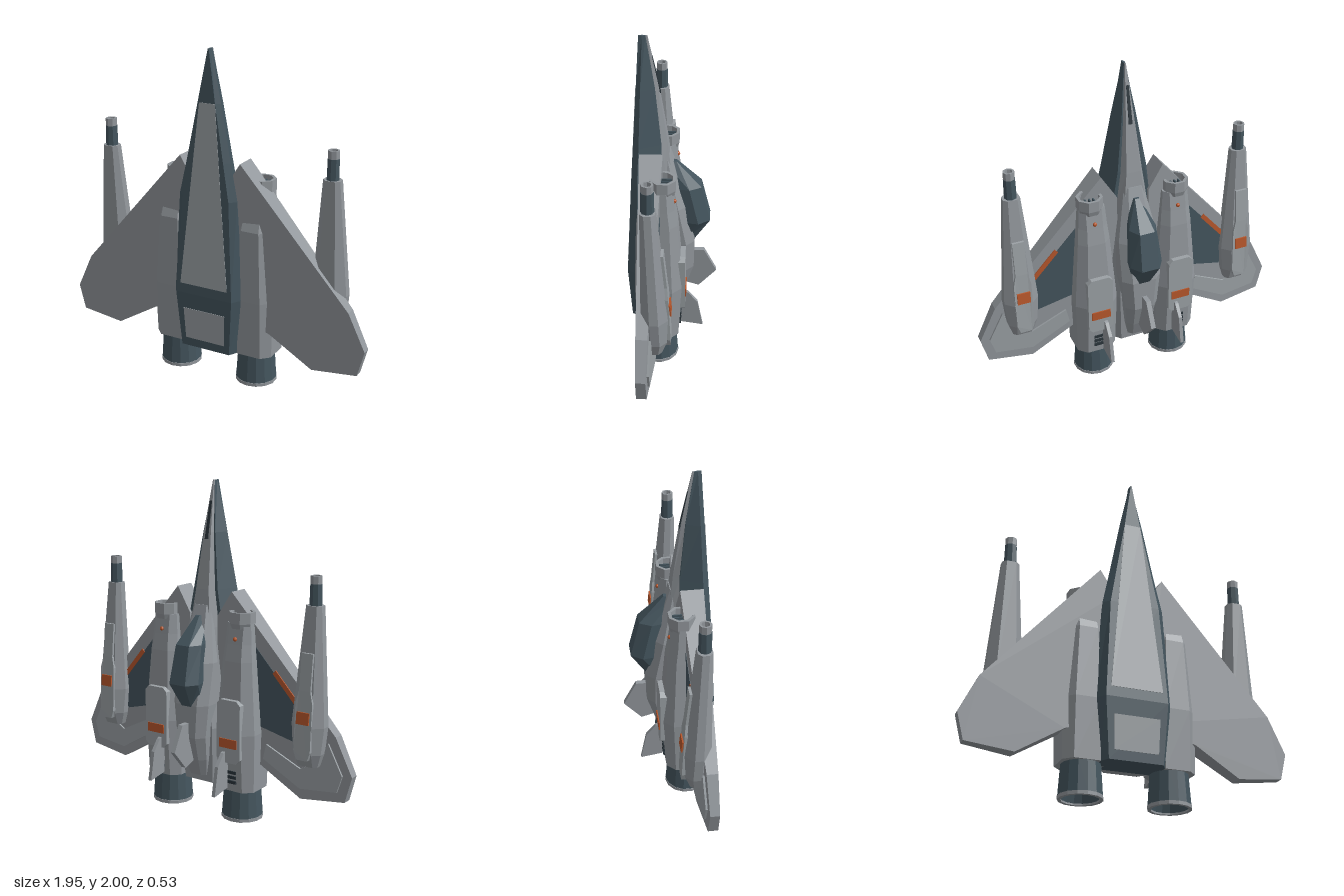
import * as THREE from 'three';

const mat = (name, color) => {
  const m = new THREE.MeshStandardMaterial({ color });
  m.name = name;
  return m;
};

export function createModel() {
  const grey = mat('hull grey', 0x92979c);
  const pale = mat('panel grey', 0x9ba1a5);
  const dark = mat('slate blue', 0x44555e);
  const black = mat('recess dark', 0x2a343a);
  const orange = mat('marking orange', 0xb8572c);
  const teal = mat('glow teal', 0x2f8496);

  const ship = new THREE.Group();
  ship.name = 'starfighter';

  // Faceted mesh
  const add = (name, geo, material, x = 0, y = 0, z = 0) => {
    const g = geo.index ? geo.toNonIndexed() : geo;
    g.computeVertexNormals();
    const mesh = new THREE.Mesh(g, material);
    mesh.name = name;
    mesh.position.set(x, y, z);
    ship.add(mesh);
    return mesh;
  };

  // Closed skin through rings stacked upward, each ring running front, +x, back, -x
  const loft = (rings) => {
    const v = [];
    const n = rings[0].length;
    const tri = (...p) => p.forEach((q) => v.push(...q));
    for (let i = 0; i < rings.length - 1; i++) {
      for (let j = 0; j < n; j++) {
        const k = (j + 1) % n, a = rings[i], b = rings[i + 1];
        tri(a[j], a[k], b[k]);
        tri(a[j], b[k], b[j]);
      }
    }
    const lo = rings[0], hi = rings[rings.length - 1];
    for (let j = 1; j < n - 1; j++) {
      tri(lo[0], lo[j + 1], lo[j]);
      tri(hi[0], hi[j], hi[j + 1]);
    }
    const g = new THREE.BufferGeometry();
    g.setAttribute('position', new THREE.Float32BufferAttribute(v, 3));
    return g;
  };

  // Chamfered box section: height, half width, back z, front z, chamfer
  const octagon = ([y, w, z0, z1, c]) => [
    [-w + c, y, z1], [w - c, y, z1], [w, y, z1 - c], [w, y, z0 + c],
    [w - c, y, z0], [-w + c, y, z0], [-w, y, z0 + c], [-w, y, z1 - c],
  ];

  // Outline in x and y, with front and back z given by rules
  const plate = (pts, front, back) => {
    const shape = new THREE.Shape(pts.map(([x, y]) => new THREE.Vector2(x, y)));
    const g = new THREE.ExtrudeGeometry(shape, { depth: 1, bevelEnabled: false });
    const p = g.attributes.position;
    for (let i = 0; i < p.count; i++) {
      const f = p.getZ(i) > 0.5 ? front : back;
      p.setZ(i, f(p.getX(i), p.getY(i)));
    }
    return g;
  };
  const trapezoid = (y0, w0, y1, w1, x = 0) => [[x - w0, y0], [x + w0, y0], [x + w1, y1], [x - w1, y1]];
  const clipped = (y0, y1, w, c) => [
    [-w + c, y0], [w - c, y0], [w, y0 + c], [w, y1 - c], [w - c, y1], [-w + c, y1], [-w, y1 - c], [-w, y0 + c],
  ];

  // Fuselage: y, belly half width and z, side half width and z, shoulder half width and z, top half width and z
  const sections = [
    [0.195, 0.16, 0.245, 0.19, 0.19, 0.18, 0.05, 0.1, 0.0],
    [0.55, 0.185, 0.266, 0.228, 0.2, 0.2, 0.04, 0.12, -0.04],
    [1.15, 0.15, 0.236, 0.187, 0.2, 0.125, 0.06, 0.07, 0.005],
    [1.37, 0.11, 0.224, 0.14, 0.19, 0.085, 0.065, 0.045, 0.03],
    [1.7, 0.05, 0.206, 0.074, 0.18, 0.042, 0.1, 0.025, 0.08],
    [2.0, 0.003, 0.19, 0.007, 0.17, 0.005, 0.15, 0.003, 0.14],
  ];
  add('fuselage', loft(sections.map(([y, b, zb, w, zw, u, zu]) => [
    [-b, y, zb], [b, y, zb], [w, y, zw], [u, y, zu], [-u, y, zu], [-w, y, zw],
  ])), dark);
  add('dorsalSkin', loft(sections.map(([y, , , , , u, zu, t, zt]) => [
    [-u * 0.8, y, zu + 0.002], [u * 0.8, y, zu + 0.002], [t, y, zt], [-t, y, zt],
  ])), grey);

  // Belly panels follow the slope of the keel
  const belly = (x, y) => (y > 0.55 ? 0.19 + (2 - y) * 0.0526 : 0.266 - (0.55 - y) * 0.059);
  const raised = (f, d) => (x, y) => f(x, y) + d;
  add('bellyPanel', plate(trapezoid(0.61, 0.155, 1.7, 0.05), raised(belly, 0.003), raised(belly, -0.005)), pale);
  add('rearBellyPanel', plate(trapezoid(0.25, 0.13, 0.45, 0.137), raised(belly, 0.003), raised(belly, -0.005)), pale);

  // Nose sensor slit
  add('noseSensor', plate(trapezoid(1.66, 0.011, 1.88, 0.008), () => 0.13, (x, y) => 0.068 + (y - 1.66) * 0.21), black);

  // Spine, canopy and centre fin
  add('spine', loft([
    [0.24, 0.06, -0.035, 0.06, 0.025], [0.35, 0.085, -0.08, 0.06, 0.035], [0.5, 0.105, -0.128, 0.06, 0.045],
    [0.7, 0.125, -0.132, 0.06, 0.05], [0.95, 0.125, -0.085, 0.06, 0.05], [1.28, 0.06, 0.015, 0.07, 0.02],
  ].map(octagon)), grey);
  add('canopy', loft([
    [0.69, 0.06, -0.13], [0.84, 0.102, -0.222], [1.065, 0.085, -0.168], [1.22, 0.025, -0.02],
  ].map(([y, w, z]) => [
    [-w * 0.7, y, 0.04], [w * 0.7, y, 0.04], [w, y, z + 0.07], [w * 0.55, y, z],
    [-w * 0.55, y, z], [-w, y, z + 0.07],
  ])), dark);
  // Upright fin drawn as a z, y outline
  const fin = (pts, t) => {
    const shape = new THREE.Shape(pts.map(([z, y]) => new THREE.Vector2(-z, y)));
    return new THREE.ExtrudeGeometry(shape, { depth: t, bevelEnabled: false }).translate(0, 0, -t / 2).rotateY(Math.PI / 2);
  };
  add('centreFin', fin([[-0.07, 0.59], [-0.19, 0.59], [-0.267, 0.44], [-0.16, 0.32], [-0.06, 0.35]], 0.03), grey);

  const wingBack = (x) => 0.035 + Math.abs(x) * 0.077;
  const wingFront = (x) => 0.188 - Math.abs(x) * 0.023;

  for (const s of [1, -1]) {
    const side = s > 0 ? 'left' : 'right';
    const put = (name, geo, m, x = 0, y = 0, z = 0) => add(side + name, geo, m, s * x, y, z);
    const flip = (pts) => pts.map(([x, y]) => [s * x, y]);
    const onWing = (pts, d) => plate(flip(pts), raised(wingBack, 0.01), raised(wingBack, -d));

    // Wing and its upper panels
    put('Wing', plate(flip([
      [0.1, 1.22], [0.195, 1.37], [0.87, 0.6], [0.975, 0.38], [0.935, 0.225], [0.66, 0.195], [0.39, 0.36], [0.1, 0.45],
    ]), wingFront, wingBack), grey);
    put('WingInset', onWing([[0.36, 1.06], [0.7, 0.67], [0.62, 0.53], [0.36, 0.6]], 0.003), dark);
    put('WingStripe', onWing([[0.47, 0.92], [0.49, 0.94], [0.69, 0.71], [0.67, 0.69]], 0.007), orange);
    put('WingEdgePanel', onWing([
      [0.42, 0.4], [0.66, 0.26], [0.89, 0.28], [0.92, 0.38], [0.83, 0.56], [0.78, 0.45], [0.66, 0.38], [0.44, 0.49],
    ], 0.012), pale);

    // Engine nacelle
    put('Nacelle', loft([
      [0.195, 0.125, -0.045, 0.2, 0.05], [0.55, 0.135, -0.07, 0.212, 0.06], [0.98, 0.1, -0.038, 0.198, 0.045],
      [1.08, 0.09, -0.022, 0.165, 0.04], [1.2, 0.08, -0.005, 0.105, 0.03],
    ].map(octagon)), grey, 0.266);
    put('NacellePanel', plate(clipped(0.38, 0.76, 0.08, 0.025), () => -0.04, () => -0.084), pale, 0.266);
    put('NacelleMarking', new THREE.BoxGeometry(0.12, 0.055, 0.009), orange, 0.266, 0.5, -0.086);
    put('NacelleLight', new THREE.SphereGeometry(0.013, 8, 6), orange, 0.266, 1.11, -0.018);
    for (let i = 0; i < 3; i++) {
      put('Vent' + (i + 1), new THREE.BoxGeometry(0.075, 0.018, 0.02), black, 0.266, 0.255 + i * 0.03, -0.05);
    }
    put('Fin', fin([[-0.04, 0.46], [-0.1, 0.44], [-0.157, 0.37], [-0.19, 0.195], [-0.06, 0.215]], 0.022), grey, 0.236);

    // Intake collar
    put('Intake', new THREE.LatheGeometry([
      [0.07, 1.17], [0.08, 1.2], [0.08, 1.265], [0.062, 1.265], [0.062, 1.19],
    ].map((p) => new THREE.Vector2(...p)), 8, Math.PI / 8), grey, 0.272, 0, 0.047);
    put('IntakeFloor', new THREE.CylinderGeometry(0.064, 0.064, 0.008, 8), black, 0.272, 1.206, 0.047);
    for (const x of [-0.025, 0, 0.025]) {
      put('IntakeVane', new THREE.BoxGeometry(0.008, 0.04, 0.1), dark, 0.272 + x, 1.225, 0.047);
    }

    // Exhaust nozzle
    const turned = (pts) => new THREE.LatheGeometry(pts.map((p) => new THREE.Vector2(...p)), 14);
    put('Nozzle', turned([[0, 0.11], [0.08, 0.11], [0.105, 0.01], [0.12, 0.01], [0.124, 0.02], [0.112, 0.2]]), dark, 0.262, 0, 0.083);
    put('NozzleRim', turned([[0.106, 0.02], [0.106, 0], [0.126, 0], [0.126, 0.02], [0.12, 0.022]]), grey, 0.262, 0, 0.083);
    put('NozzleGlow', new THREE.CylinderGeometry(0.05, 0.05, 0.009, 8), teal, 0.262, 0.105, 0.083);

    // Gun pod, barrel and muzzle
    put('GunPod', loft([
      [0.42, 0.065, 0.03, 0.12, 0.02], [0.5, 0.09, 0.0, 0.13, 0.04], [0.66, 0.105, -0.005, 0.145, 0.05],
      [1.34, 0.05, 0.06, 0.142, 0.022],
    ].map(octagon)), grey, 0.72);
    const podBack = (x, y) => -0.02 + Math.max(0, y - 0.66) * 0.0956;
    put('PodPanel', plate([
      [-0.035, 0.47], [0.035, 0.47], [0.053, 0.52], [0.053, 0.8], [0.036, 0.87], [0.036, 1.08],
      [-0.036, 1.08], [-0.036, 0.87], [-0.053, 0.8], [-0.053, 0.52],
    ], raised(podBack, 0.04), podBack), pale, 0.72);
    put('PodMarking', plate(trapezoid(0.68, 0.04, 0.75, 0.04), raised(podBack, 0.003), raised(podBack, -0.005)), orange, 0.72);
    put('Barrel', new THREE.CylinderGeometry(0.035, 0.037, 0.13, 8), dark, 0.72, 1.395, 0.102);
    put('Muzzle', new THREE.LatheGeometry([
      [0.03, 1.45], [0.034, 1.46], [0.034, 1.505], [0.023, 1.505], [0.023, 1.46],
    ].map((p) => new THREE.Vector2(...p)), 8), grey, 0.72, 0, 0.102);
    put('MuzzleGlow', new THREE.CylinderGeometry(0.022, 0.022, 0.008, 8), teal, 0.72, 1.47, 0.102);
  }

  return ship;
}
